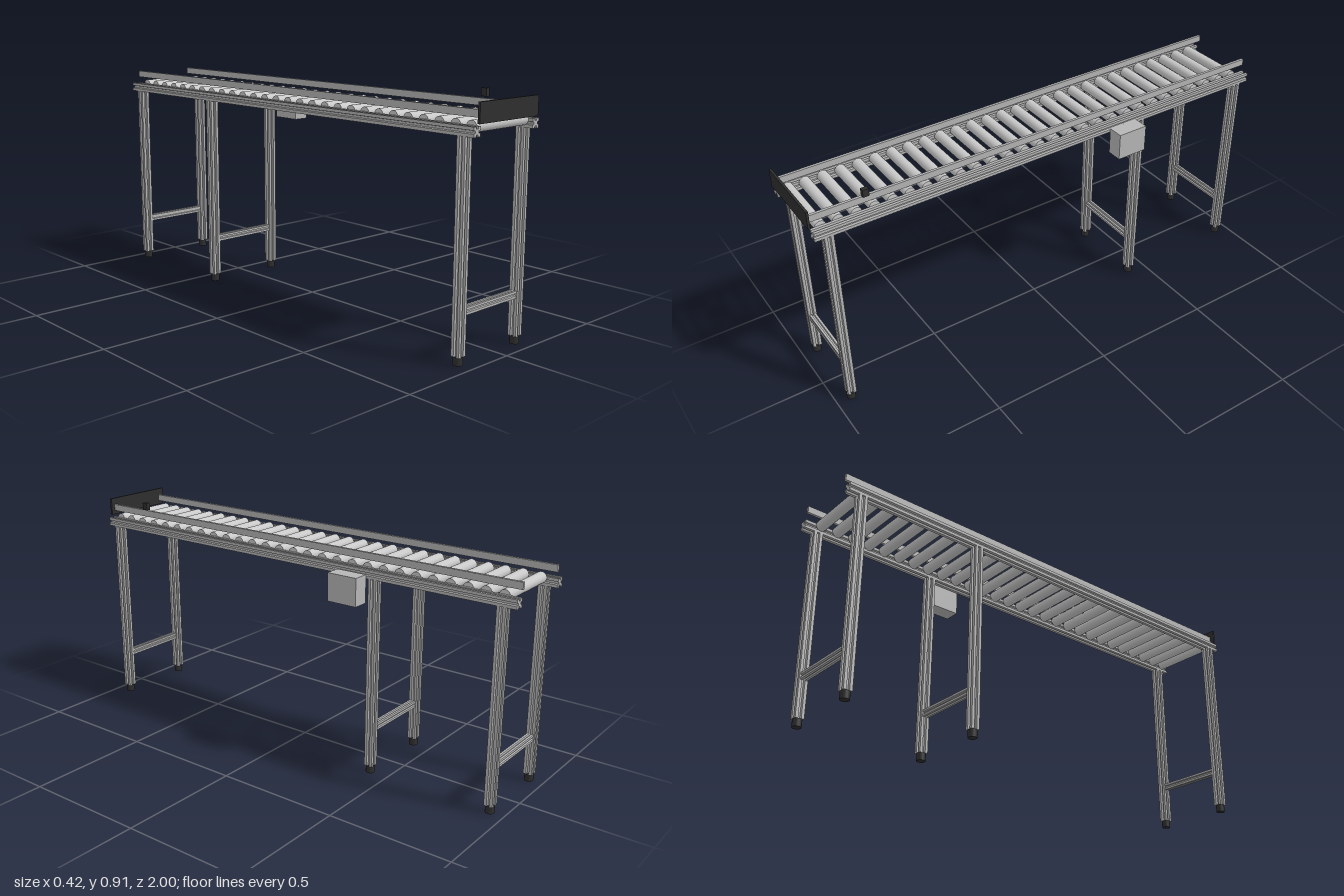
import * as THREE from 'three';

const CENTER = -0.0325; // conveyor centre line; the drive box sticks out on +x
const HALF = 0.158;     // centre line to side rail centre

function createMaterials() {
  const make = (name, color) => {
    const m = new THREE.MeshStandardMaterial({ color });
    m.name = name;
    return m;
  };
  return {
    aluminium: make('aluminium', 0xb4b4b4),
    steel: make('roller steel', 0xc8c8c8),
    casing: make('casing grey', 0xb6b6b6),
    black: make('black plastic', 0x2e2e2e),
  };
}

// Square bar with a groove along the middle of each side, centred, running along z
function slottedBar(size, length) {
  const h = size / 2, open = size * 0.17, floor = size * 0.11, depth = size * 0.24;
  const side = [[-h, -h], [-open, -h], [-floor, -h + depth], [floor, -h + depth], [open, -h]];
  const points = [];
  for (let k = 0; k < 4; k++) {
    const c = Math.round(Math.cos(k * Math.PI / 2)), s = Math.round(Math.sin(k * Math.PI / 2));
    for (const [x, y] of side) points.push(new THREE.Vector2(x * c - y * s, x * s + y * c));
  }
  const geo = new THREE.ExtrudeGeometry(new THREE.Shape(points), { depth: length, bevelEnabled: false });
  return geo.translate(0, 0, -length / 2);
}

export function createModel() {
  const model = new THREE.Group();
  model.name = 'rollerConveyor';
  const mat = createMaterials();

  const add = (name, geo, material, x, y, z, parent = model) => {
    const mesh = new THREE.Mesh(geo, material);
    mesh.name = name;
    mesh.position.set(x, y, z);
    parent.add(mesh);
    return mesh;
  };
  const box = (w, h, d) => new THREE.BoxGeometry(w, h, d);

  // Side rails and the guide strips above them
  const railGeo = slottedBar(0.035, 1.99);
  const guideGeo = box(0.011, 0.027, 1.99);
  for (const [label, s] of [['left', 1], ['right', -1]]) {
    add(label + 'Rail', railGeo, mat.aluminium, CENTER + s * HALF, 0.802, -0.005);
    add(label + 'Guide', guideGeo, mat.aluminium, CENTER + s * 0.135, 0.859, -0.005);
  }

  // Rollers: even pitch plus one close to the front end
  const rollers = new THREE.Group();
  rollers.name = 'rollers';
  model.add(rollers);
  const rollerGeo = new THREE.CylinderGeometry(0.0215, 0.0215, 0.28, 24).rotateZ(Math.PI / 2);
  const rollerZ = [0.951];
  for (let i = 0; i < 27; i++) rollerZ.push(0.885 - i * 0.07);
  for (const z of rollerZ) add('roller', rollerGeo, mat.steel, CENTER, 0.8145, z, rollers);

  // Three leg frames, each with two legs, feet and a cross bar
  const legGeo = slottedBar(0.035, 0.755).rotateX(Math.PI / 2);
  const footGeo = new THREE.CylinderGeometry(0.0175, 0.0175, 0.03, 24);
  const crossGeo = slottedBar(0.027, 0.281).rotateY(Math.PI / 2);
  for (const [label, z] of [['front', 0.938], ['middle', -0.42], ['back', -0.942]]) {
    const frame = new THREE.Group();
    frame.name = label + 'LegFrame';
    model.add(frame);
    for (const s of [-1, 1]) {
      add('leg', legGeo, mat.aluminium, CENTER + s * HALF, 0.4075, z, frame);
      add('foot', footGeo, mat.black, CENTER + s * HALF, 0.015, z, frame);
    }
    add('crossBar', crossGeo, mat.aluminium, CENTER, 0.187, z, frame);
  }

  // Drive box, end stop and the small sensor
  add('driveBox', box(0.064, 0.11, 0.128), mat.casing, 0.175, 0.745, -0.329);
  add('endStop', box(0.315, 0.072, 0.009), mat.black, -0.0345, 0.864, 0.9955);
  add('sensor', box(0.018, 0.03, 0.024), mat.black, 0.115, 0.893, 0.779);

  return model;
}
